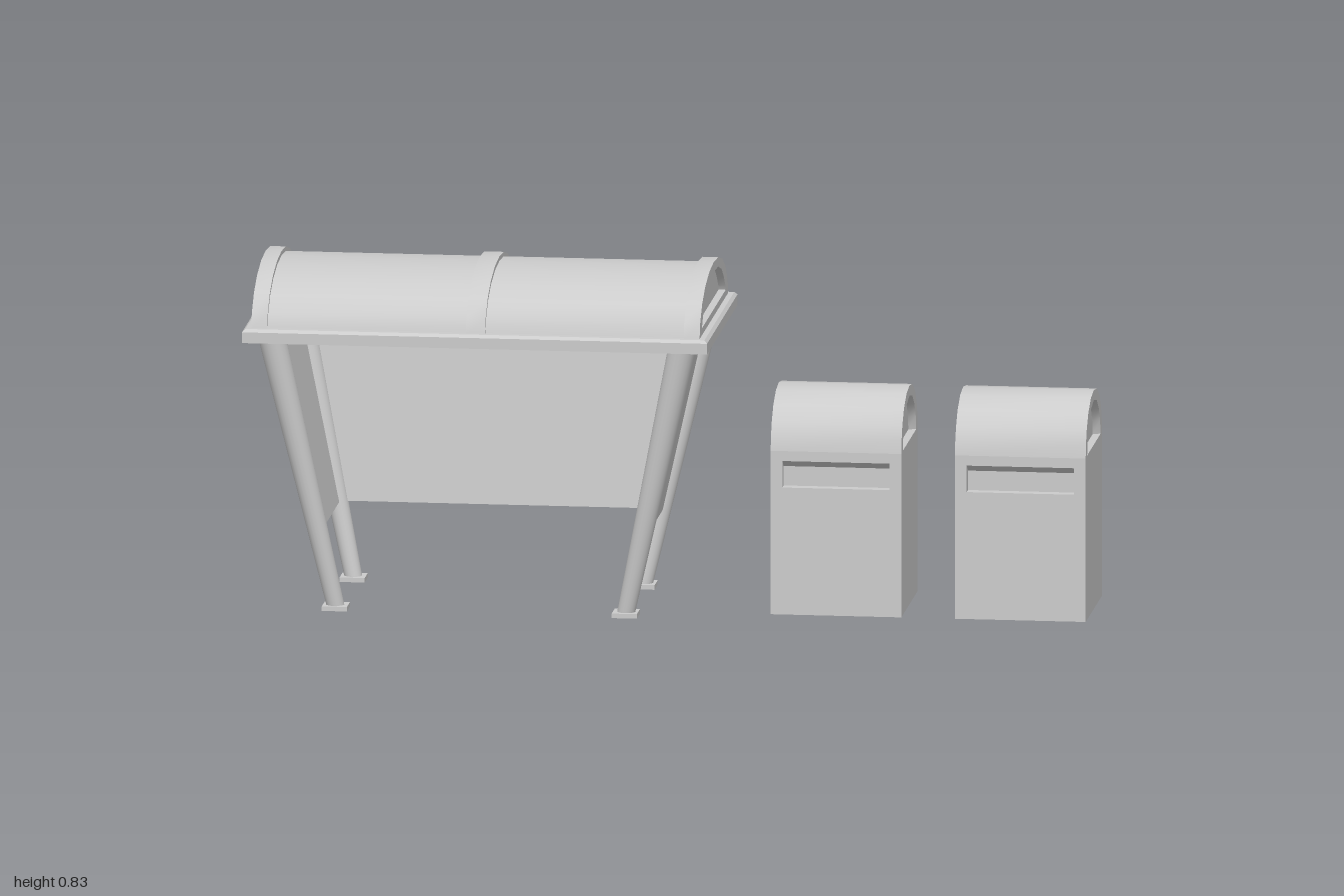
import * as THREE from 'three';
import { toCreasedNormals } from 'three/addons/utils/BufferGeometryUtils.js';

const grey = new THREE.MeshStandardMaterial({ color: 0xcccccc });
const greyThin = new THREE.MeshStandardMaterial({ color: 0xcccccc, side: THREE.DoubleSide });
const V = (x, y, z) => new THREE.Vector3(x, y, z);

function add(parent, name, geometry, material = grey) {
  const mesh = new THREE.Mesh(geometry, material);
  mesh.name = name;
  parent.add(mesh);
  return mesh;
}

// Skin between successive rings of points; smooth over gentle bends, sharp at edges
function loft(rings, closed = true) {
  const out = [];
  const area = new THREE.Triangle();
  const tri = (a, b, c) => {
    if (area.set(a, b, c).getArea() > 1e-9) out.push(...a, ...b, ...c);
  };
  for (let r = 0; r + 1 < rings.length; r++) {
    const A = rings[r], B = rings[r + 1], n = A.length;
    for (let i = 0; i < (closed ? n : n - 1); i++) {
      const j = (i + 1) % n;
      tri(A[i], B[i], B[j]);
      tri(A[i], B[j], A[j]);
    }
  }
  const g = new THREE.BufferGeometry();
  g.setAttribute('position', new THREE.Float32BufferAttribute(out, 3));
  return toCreasedNormals(g, 0.6);
}

// Horizontal rectangular ring at height y
const rect = (y, hx, hz, cx = 0, cz = 0) =>
  [[1, 1], [-1, 1], [-1, -1], [1, -1]].map(([a, b]) => V(cx + a * hx, y, cz + b * hz));

// Mirrors half an arch (last point on the centre line) into a whole one
const arch = half => [...half, ...half.slice(0, -1).reverse().map(([a, b]) => [-a, b])];
const shape = (outline, hole) => {
  const s = new THREE.Shape(outline.map(p => new THREE.Vector2(...p)));
  if (hole) s.holes.push(new THREE.Path(hole.map(p => new THREE.Vector2(...p))));
  return s;
};

// Flat panel facing +z with a recess sunk into it
function recessedPanel(name, outline, hole, floor, depth) {
  const g = new THREE.Group();
  g.name = name;
  const ring = (pts, z) => pts.map(([x, y]) => V(x, y, z));
  add(g, 'panelFace', new THREE.ShapeGeometry(shape(outline, hole)));
  add(g, 'recessWalls', loft([ring(floor, -depth), ring(hole, 0)]));
  add(g, 'recessFloor', new THREE.ShapeGeometry(shape(floor))).position.z = -depth;
  return g;
}

function createShelter() {
  const shelter = new THREE.Group();
  shelter.name = 'shelter';

  // Bevelled rim, open in the middle
  add(shelter, 'roofRim', loft([
    rect(0.662, 0.515, 0.245), rect(0.662, 0.555, 0.295), rect(0.688, 0.555, 0.295),
    rect(0.695, 0.548, 0.288), rect(0.695, 0.515, 0.245), rect(0.662, 0.515, 0.245)]));

  // Barrel roof, its ribs and its end panels
  const outer = arch([[0.276, 0.692], [0.265, 0.73], [0.225, 0.77], [0.165, 0.8], [0.085, 0.82], [0, 0.826]]);
  const inner = arch([[0.228, 0.712], [0.222, 0.724], [0.19, 0.752], [0.15, 0.778], [0.085, 0.797], [0, 0.803]]);
  const vault = outer.map(([z, y]) => [z * 0.97, 0.692 + (y - 0.692) * 0.92]);
  add(shelter, 'barrelRoof',
    loft([-0.525, 0.525].map(x => vault.map(([z, y]) => V(x, y, z))), false), greyThin);
  for (const [x, w] of [[-0.516, 0.038], [0, 0.046], [0.516, 0.038]]) {
    const g = new THREE.ExtrudeGeometry(shape(outer, inner), { depth: w, bevelEnabled: false });
    g.translate(0, 0, -w / 2).rotateY(Math.PI / 2);
    add(shelter, 'roofRib', toCreasedNormals(g, 0.6)).position.x = x;
  }
  for (const s of [-1, 1]) {
    const panel = add(shelter, 'roofEndPanel', new THREE.ShapeGeometry(shape(vault)), greyThin);
    panel.rotation.y = s * Math.PI / 2;
    panel.position.x = s * 0.518;
  }

  // Splayed tapering legs on square feet
  const up = V(0, 1, 0);
  for (const sx of [-1, 1]) for (const sz of [-1, 1]) {
    const a = V(sx * 0.346, 0.005, sz * 0.172), b = V(sx * 0.49, 0.67, sz * 0.242);
    const dir = b.clone().sub(a);
    const leg = add(shelter, 'leg', new THREE.CylinderGeometry(0.033, 0.021, dir.length(), 20));
    leg.position.copy(a).add(b).multiplyScalar(0.5);
    leg.quaternion.setFromUnitVectors(up, dir.normalize());
    add(shelter, 'foot', new THREE.BoxGeometry(0.06, 0.011, 0.06))
      .position.set(sx * 0.346, 0.0055, sz * 0.172);
  }

  // Leaning wall panels at the back and both ends
  const y0 = 0.188, y1 = 0.68, t = 0.006;
  const x0 = 0.386, x1 = 0.492, z0 = 0.191, z1 = 0.243;
  add(shelter, 'backWall', loft([
    rect(y0, x0, 0, 0, -z0), rect(y0, x0, t, 0, -z0),
    rect(y1, x1, t, 0, -z1), rect(y1, x1, 0, 0, -z1)]));
  for (const s of [-1, 1]) {
    add(shelter, 'endWall', loft([
      rect(y0, 0, z0, s * x0), rect(y0, t, z0, s * x0),
      rect(y1, t, z1, s * x1), rect(y1, 0, z1, s * x1)]));
  }
  return shelter;
}

function createMailbox() {
  const box = new THREE.Group();
  box.name = 'mailbox';
  const hw = 0.156, hd = 0.158, bottom = 0.01, spring = 0.405;
  const top = arch([[hd, spring], [0.153, 0.437], [0.138, 0.47], [0.107, 0.505], [0.057, 0.531], [0, 0.539]]);

  // Rounded top, back and underside in one skin
  const skin = [...top, [-hd, bottom], [hd, bottom]];
  add(box, 'shell', loft([-hw, hw].map(x => skin.map(([z, y]) => V(x, y, z))), false));

  // Front with a letter slot under a sloping lip
  const front = recessedPanel('slotFront',
    [[-hw, bottom], [hw, bottom], [hw, spring], [-hw, spring]],
    [[-0.128, 0.317], [0.128, 0.317], [0.128, 0.381], [-0.128, 0.381]],
    [[-0.128, 0.317], [0.128, 0.317], [0.128, 0.364], [-0.128, 0.364]], 0.025);
  front.position.z = hd;
  box.add(front);

  // Ends with a shallow arched recess
  const hole = arch([[0.129, 0.407], [0.12, 0.441], [0.094, 0.476], [0.055, 0.503], [0, 0.515]]);
  const floor = hole.map(([z, y]) => [z * 0.955, 0.407 + (y - 0.407) * 0.965]);
  for (const s of [-1, 1]) {
    const end = recessedPanel('archedEnd', [...top, [-hd, bottom], [hd, bottom]], hole, floor, 0.018);
    end.rotation.y = s * Math.PI / 2;
    end.position.x = s * hw;
    box.add(end);
  }
  return box;
}

export function createModel() {
  const model = new THREE.Group();
  model.name = 'shelterWithMailboxes';
  const shelter = createShelter();
  shelter.position.x = -0.444;
  model.add(shelter);
  for (const x of [0.402, 0.842]) {
    const box = createMailbox();
    box.position.x = x;
    model.add(box);
  }
  return model;
}
